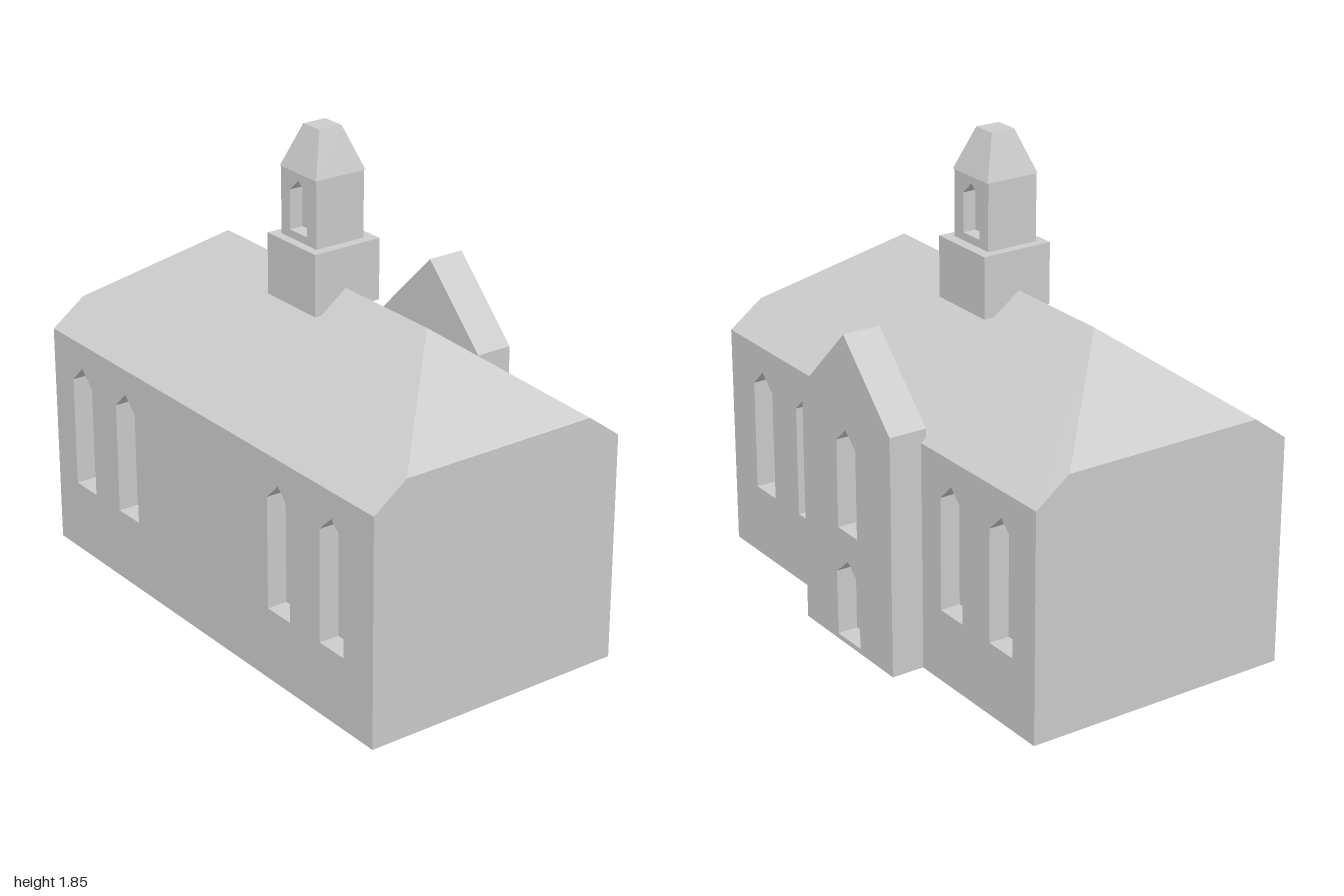
import * as THREE from 'three';
import { ConvexGeometry } from 'three/addons/geometries/ConvexGeometry.js';

export function createModel() {
  const model = new THREE.Group();
  model.name = 'chapel';
  const stone = new THREE.MeshStandardMaterial({ color: 0xcccccc });
  stone.name = 'pale stone';

  const add = (name, geometry) => {
    const mesh = new THREE.Mesh(geometry, stone);
    mesh.name = name;
    model.add(mesh);
    return mesh;
  };

  // Box given by its limits
  const box = (name, x0, x1, y0, y1, z0, z1) =>
    add(name, new THREE.BoxGeometry(x1 - x0, y1 - y0, z1 - z0))
      .position.set((x0 + x1) / 2, (y0 + y1) / 2, (z0 + z1) / 2);

  // Upright rectangle or pointed outline: left, right, bottom, shoulder, peak
  const outline = (Type, [x0, x1, y0, y1, peak]) => {
    const points = [[x0, y0], [x1, y0], [x1, y1]];
    if (peak) points.push([(x0 + x1) / 2, peak]);
    points.push([x0, y1]);
    return new Type(points.map(([x, y]) => new THREE.Vector2(x, y)));
  };

  // Wall slab pierced by pointed openings
  const wall = (name, limits, openings, z0, z1) => {
    const shape = outline(THREE.Shape, limits);
    shape.holes = openings.map((o) => outline(THREE.Path, o));
    add(name, new THREE.ExtrudeGeometry(shape, { depth: z1 - z0, bevelEnabled: false }))
      .position.z = z0;
  };

  const solid = (name, points) =>
    add(name, new ConvexGeometry(points.map((p) => new THREE.Vector3(...p))));

  // Main hall: core with recessed windows in the front and back walls
  const windows = [[-0.87, -0.735], [-0.57, -0.437], [0.395, 0.527], [0.7, 0.836]]
    .map(([x0, x1]) => [x0, x1, 0.28, 0.715, 0.78]);
  box('hallCore', -1, 1, 0, 0.88, -0.39, 0.52);
  wall('frontWall', [-1, 1, 0, 0.88], windows, 0.52, 0.6);
  wall('backWall', [-1, 1, 0, 0.88], windows, -0.47, -0.39);

  // Roof with clipped gable ends
  const roof = [];
  for (const s of [-1, 1]) {
    roof.push([s, 0.88, 0.6], [s, 0.88, -0.47], [s, 0.98, 0.465], [s, 0.98, -0.335], [s * 0.597, 1.28, 0.065]);
  }
  solid('hallRoof', roof);

  // Gabled porch at the back
  const porch = [-0.32, 0.26, 0, 0.93, 1.22];
  wall('porchCore', porch, [], -0.52, -0.45);
  wall('porchWall', porch, [
    [-0.095, 0.031, 0.455, 0.8, 0.857],
    [-0.105, 0.045, 0.02, 0.275, 0.34],
  ], -0.6, -0.52);

  // Bell tower: base, recessed openings front and back, tapered cap
  const bell = [[-0.06, 0.042, 1.465, 1.615, 1.662]];
  const tower = [-0.113, 0.097, 1.435, 1.69];
  box('towerBase', -0.15, 0.135, 1.2, 1.435, -0.085, 0.2);
  box('towerCore', ...tower, 0.01, 0.11);
  wall('towerFront', tower, bell, 0.11, 0.165);
  wall('towerBack', tower, bell, -0.043, 0.01);

  const cap = [];
  for (const [half, y] of [[0.108, 1.69], [0.048, 1.85]]) {
    for (const sx of [-1, 1]) for (const sz of [-1, 1]) cap.push([-0.008 + sx * half, y, 0.06 + sz * half]);
  }
  solid('towerCap', cap);

  return model;
}
